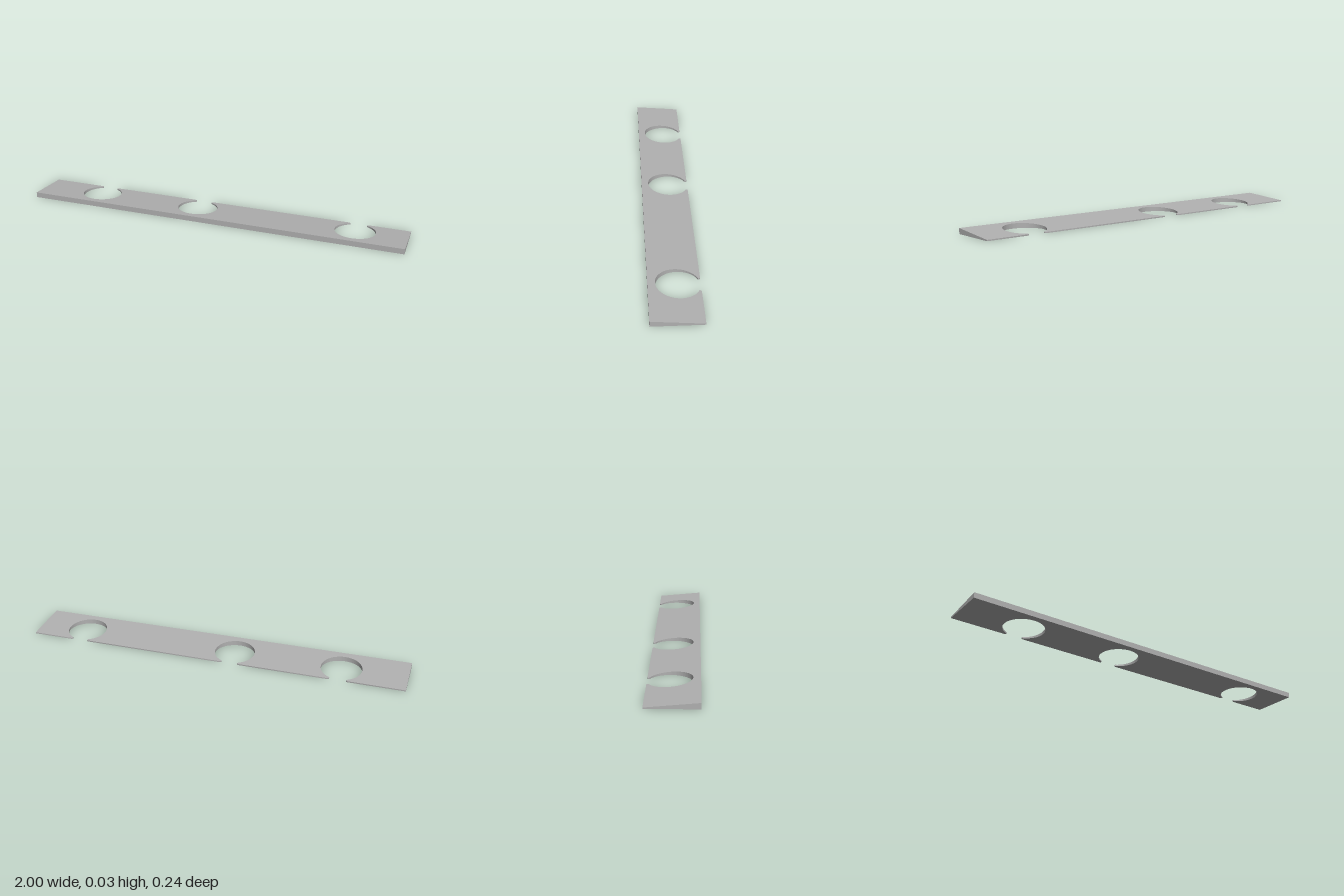
import * as THREE from 'three';
import { toCreasedNormals } from 'three/addons/utils/BufferGeometryUtils.js';

const HALF_DEPTH = 0.122;
const FRONT_HEIGHT = 0.028;
const BACK_HEIGHT = 0.006;
const HOLE_RADIUS = 0.104;
const HOLE_Y = 0.017;     // hole centre, measured towards the back
const MOUTH = 0.043;      // half width of the opening in the back edge

// Round cut-out open to the back edge, with softened lips
function cutNotch(shape, x) {
  const rise = Math.sqrt(HOLE_RADIUS ** 2 - MOUTH ** 2);
  const angle = Math.atan2(rise, MOUTH);
  const lip = HOLE_Y + rise;
  shape.lineTo(x + MOUTH + 0.008, HALF_DEPTH);
  shape.quadraticCurveTo(x + MOUTH - 0.003, HALF_DEPTH - 0.001, x + MOUTH, lip);
  shape.absarc(x, HOLE_Y, HOLE_RADIUS, angle, Math.PI - angle, true);
  shape.quadraticCurveTo(x - MOUTH + 0.003, HALF_DEPTH - 0.001, x - MOUTH - 0.008, HALF_DEPTH);
}

export function createModel() {
  const group = new THREE.Group();
  group.name = 'notchedWedgeStrip';
  const grey = new THREE.MeshStandardMaterial({ color: 0xb0b0b0 });
  grey.name = 'grey';

  // Plan outline, notches cut from right to left along the back edge
  const outline = new THREE.Shape();
  outline.moveTo(-1, -HALF_DEPTH);
  outline.lineTo(1, -HALF_DEPTH);
  outline.lineTo(1, HALF_DEPTH);
  for (const x of [0.735, -0.107, -0.667]) cutNotch(outline, x);
  outline.lineTo(-1, HALF_DEPTH);
  outline.closePath();

  const geometry = new THREE.ExtrudeGeometry(outline, { depth: 1, bevelEnabled: false, curveSegments: 40 });
  geometry.rotateX(-Math.PI / 2);

  // Slope the upper face down towards the back
  const pos = geometry.attributes.position;
  for (let i = 0; i < pos.count; i++) {
    const t = (pos.getZ(i) + HALF_DEPTH) / (2 * HALF_DEPTH);
    pos.setY(i, pos.getY(i) * THREE.MathUtils.lerp(BACK_HEIGHT, FRONT_HEIGHT, t));
  }

  const strip = new THREE.Mesh(toCreasedNormals(geometry, 0.5), grey);
  strip.name = 'wedgeStrip';
  group.add(strip);
  return group;
}
